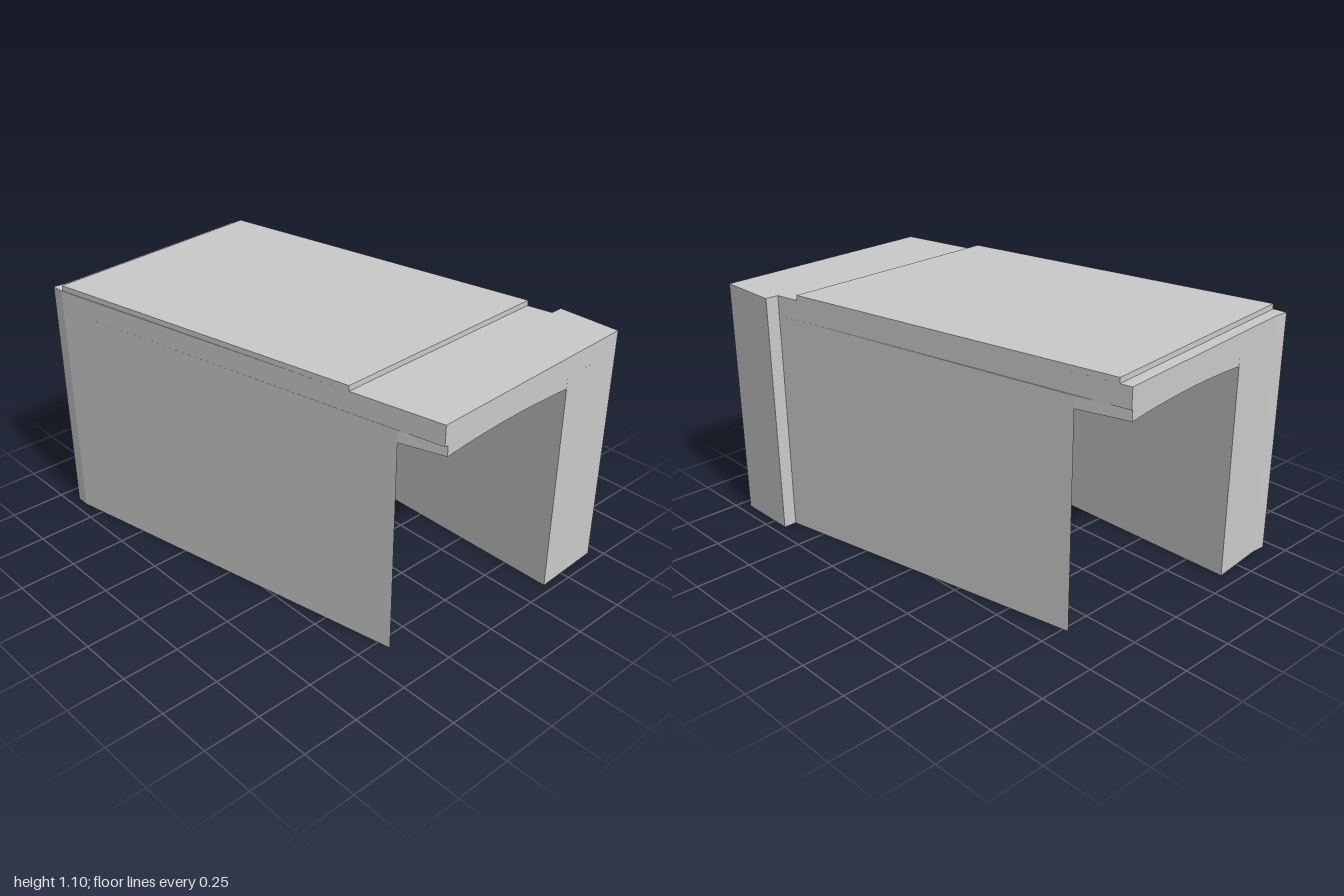
import * as THREE from 'three';

const material = new THREE.MeshStandardMaterial({ color: 0xcccccc, flatShading: true });

// Vertical prism from a plan outline of [x, z] corners
function prism(name, plan, y0, y1) {
  const shape = new THREE.Shape(plan.map(([x, z]) => new THREE.Vector2(x, -z)));
  const geo = new THREE.ExtrudeGeometry(shape, { depth: y1 - y0, bevelEnabled: false });
  geo.rotateX(-Math.PI / 2).translate(0, y0, 0);
  const mesh = new THREE.Mesh(geo, material);
  mesh.name = name;
  return mesh;
}

const lerp = THREE.MathUtils.mapLinear;
const HALF = 0.38;       // half width of the passage
const TIP = 0.325;       // where the skewed ends of the soffit are cut back
const LEDGE = 0.99;      // underside of the deck slab

// Plan lines of the two ends of the soffit
const frontZ = x => x < -TIP ? lerp(x, -HALF, -TIP, 0.806, 0.994) : lerp(x, -TIP, 0.7, 0.994, 0.95);
const backZ = x => x > TIP ? lerp(x, TIP, HALF, -0.998, -0.775) : lerp(x, -0.64, TIP, -0.91, -0.998);

// Shallow arched ceiling between the walls, skewed to follow both ends
function archedSoffit() {
  const stations = [-HALF];
  for (let i = 0; i <= 18; i++) stations.push(lerp(i, 0, 18, -TIP, TIP));
  stations.push(HALF);
  const n = stations.length - 1;
  const geo = new THREE.BoxGeometry(n, 1, 1, n, 1, 1);
  const p = geo.attributes.position;
  for (let i = 0; i < p.count; i++) {
    const x = stations[Math.round(p.getX(i) + n / 2)];
    const arch = 0.956 - 0.017 * (x / HALF) ** 2;
    p.setXYZ(i, x, p.getY(i) > 0 ? LEDGE : arch, p.getZ(i) > 0 ? frontZ(x) : backZ(x));
  }
  geo.computeVertexNormals();
  const mesh = new THREE.Mesh(geo, material);
  mesh.name = 'archedSoffit';
  return mesh;
}

export function createModel() {
  const group = new THREE.Group();
  group.name = 'skewUnderpass';

  // Wedge-shaped side walls
  group.add(prism('leftWall', [
    [HALF, 0.964], [0.703, 0.95], [0.703, 0.67], [0.645, 0.67], [HALF, -0.775],
  ], 0, LEDGE));
  group.add(prism('rightWall', [
    [-HALF, 0.806], [-HALF, -0.934], [-0.64, -0.91], [-0.705, -0.915], [-0.705, -0.855],
  ], 0, LEDGE));

  group.add(archedSoffit());

  // Deck slab, overhanging the acute corners
  group.add(prism('deckSlab', [
    [-0.342, 0.995], [0.703, 0.95], [0.703, 0.67], [0.645, 0.67],
    [0.333, -1], [-0.64, -0.91], [-0.705, -0.915], [-0.705, -0.855],
  ], LEDGE, 1.077));

  // Raised surfacing on top of the slab
  group.add(prism('raisedDeck', [
    [-0.42, 0.598], [0.626, 0.56], [0.342, -0.95], [-0.7, -0.853],
  ], 1.077, 1.1));

  return group;
}
